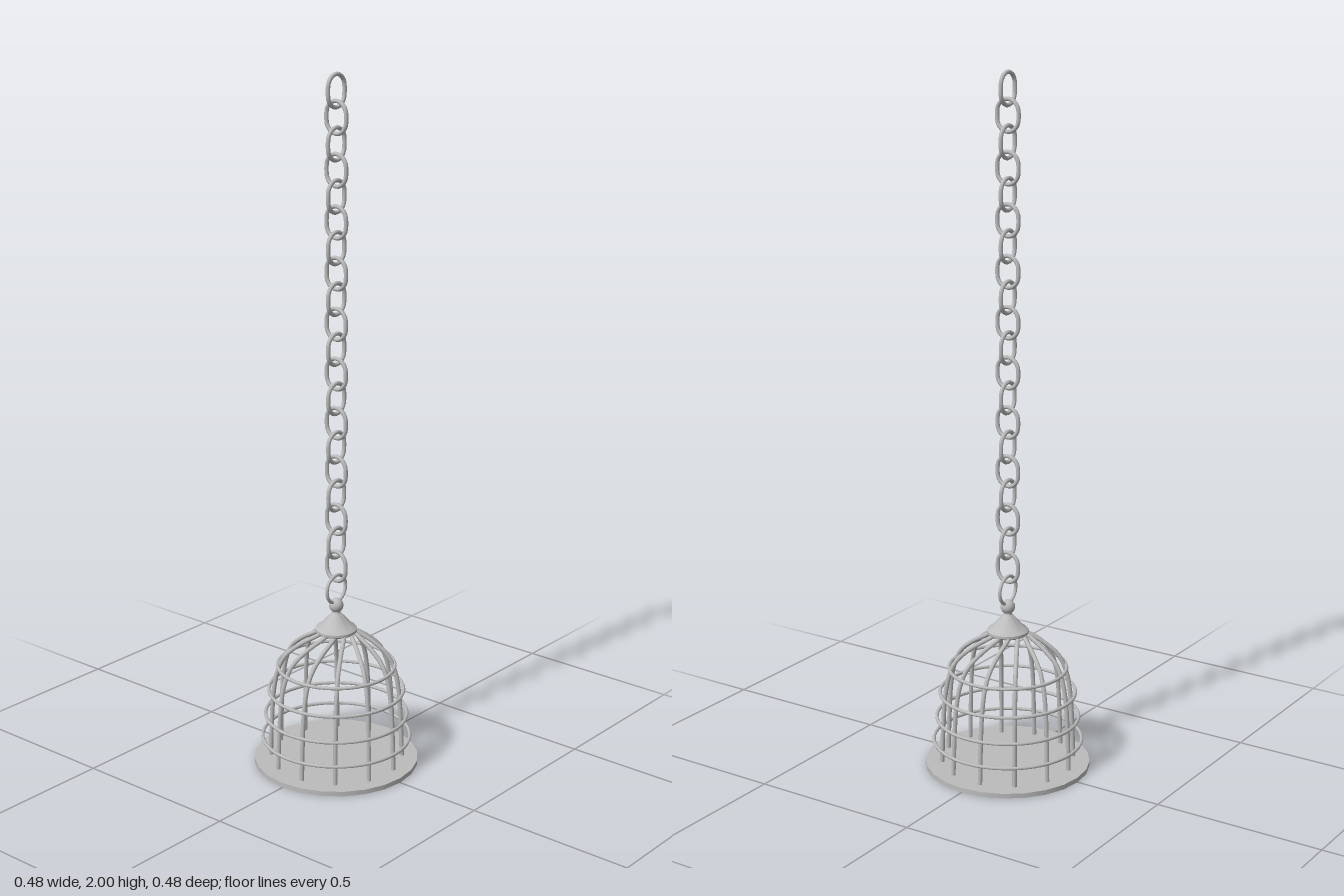
import * as THREE from 'three';
import { toCreasedNormals } from 'three/addons/utils/BufferGeometryUtils.js';

export function createModel() {
  const model = new THREE.Group();
  model.name = 'hangingCage';
  const metal = new THREE.MeshStandardMaterial({ name: 'grey metal', color: 0xbcbcbc });

  function add(name, geometry, y = 0, parent = model) {
    const mesh = new THREE.Mesh(geometry, metal);
    mesh.name = name;
    mesh.position.y = y;
    parent.add(mesh);
    return mesh;
  }

  // Floor plate
  add('floorPlate', toCreasedNormals(new THREE.CylinderGeometry(0.238, 0.238, 0.014, 24), 0.5), 0.007);

  // Horizontal hoops: [height, radius]
  const hoops = [[0.3, 0.169], [0.225, 0.195], [0.15, 0.205], [0.08, 0.214]];
  for (const [y, r] of hoops) {
    add('hoop', new THREE.TorusGeometry(r, 0.005, 8, 48), y).rotation.x = Math.PI / 2;
  }

  // Twelve bars, each set off to one side of the centre
  const barPath = new THREE.CatmullRomCurve3([
    [0.025, 0.415], [0.05, 0.398], [0.1, 0.368], [0.143, 0.33],
    [0.165, 0.285], [0.178, 0.22], [0.185, 0.12], [0.189, 0.01],
  ].map(([x, y]) => new THREE.Vector3(x, y, -0.03)));
  const barGeometry = new THREE.TubeGeometry(barPath, 28, 0.0065, 8);
  for (let i = 0; i < 12; i++) {
    add('bar', barGeometry).rotation.y = (i * Math.PI) / 6;
  }

  // Cap over the bars, with a stepped rim and a tapering neck
  const capProfile = [
    [0, 0.402], [0.054, 0.402], [0.06, 0.407], [0.06, 0.414], [0.055, 0.419],
    [0.047, 0.423], [0.032, 0.441], [0.018, 0.456], [0.012, 0.462], [0.01, 0.475], [0, 0.475],
  ].map(([x, y]) => new THREE.Vector2(x, y));
  add('cap', toCreasedNormals(new THREE.LatheGeometry(capProfile, 32), 0.6));
  add('finialBall', new THREE.SphereGeometry(0.021, 20, 14), 0.484);

  // Ring joining the cap to the chain
  add('hangingRing', new THREE.TorusGeometry(0.041, 0.005, 8, 32), 0.534).rotation.y = Math.PI / 2;

  // Chain of oval links, turned a quarter each time
  const linkPoints = [];
  for (let i = 0; i < 24; i++) {
    const a = ((i + 0.5) / 24) * Math.PI * 2;
    linkPoints.push(new THREE.Vector3(
      0.034 * Math.cos(a), 0.034 * Math.sin(a) + 0.01 * Math.sign(Math.sin(a)), 0));
  }
  const linkPath = new THREE.CatmullRomCurve3(linkPoints, true);
  const linkGeometry = new THREE.TubeGeometry(linkPath, 36, 0.006, 8, true);
  const chain = new THREE.Group();
  chain.name = 'chain';
  model.add(chain);
  for (let i = 0; i < 20; i++) {
    const link = add('chainLink', linkGeometry, 1.95 - i * 0.0709, chain);
    link.rotation.y = i % 2 ? 0 : Math.PI / 2;
  }

  return model;
}
